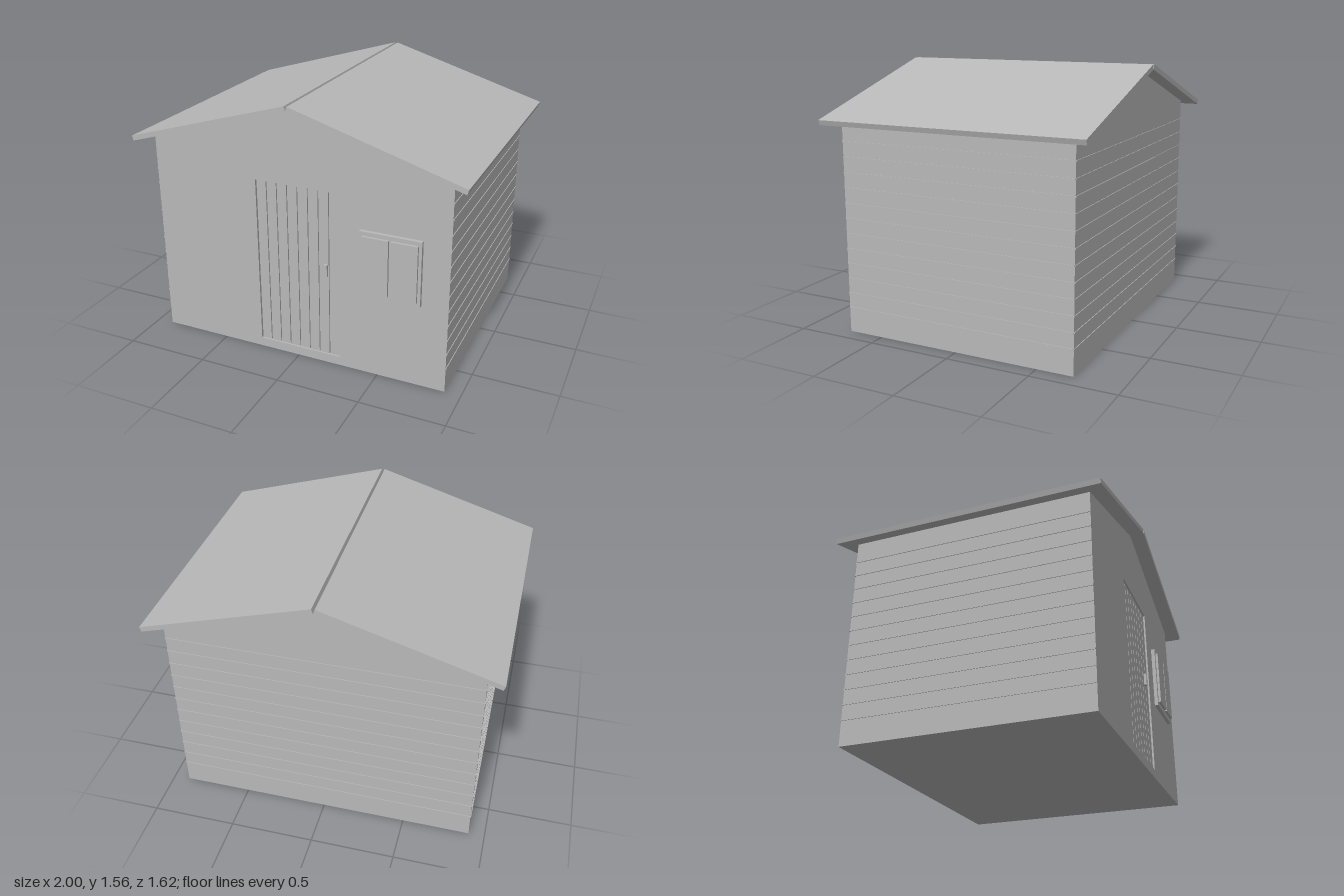
import * as THREE from 'three';

const W = 0.904, BACK = -0.716, FRONT = 0.72, RECESS = 0.70;
const EAVE = 1.264, RIDGE = 1.535, ROOF_Z = 0.808;

export function createModel() {
  const shed = new THREE.Group();
  shed.name = 'gardenShed';
  const grey = new THREE.MeshStandardMaterial({ color: 0xb8b8b8 });
  grey.name = 'plainGrey';

  const add = (name, geometry, parent = shed) => {
    const mesh = new THREE.Mesh(geometry, grey);
    mesh.name = name;
    parent.add(mesh);
    return mesh;
  };
  // Box given by its limits on each axis
  const block = (name, x0, x1, y0, y1, z0, z1, parent) => {
    const mesh = add(name, new THREE.BoxGeometry(x1 - x0, y1 - y0, z1 - z0), parent);
    mesh.position.set((x0 + x1) / 2, (y0 + y1) / 2, (z0 + z1) / 2);
    return mesh;
  };
  // Outline in x and y, pushed out from z0 to z1
  const polygon = (points) => new THREE.Shape(points.map(([x, y]) => new THREE.Vector2(x, y)));
  const extrude = (shape, z0, z1) =>
    new THREE.ExtrudeGeometry(shape, { depth: z1 - z0, bevelEnabled: false }).translate(0, 0, z0);
  const gable = () => polygon([[-W, 0], [W, 0], [W, EAVE], [0, RIDGE], [-W, EAVE]]);

  // Walls: solid core and a front skin with the door opening
  add('walls', extrude(gable(), BACK, RECESS));
  const d = { x0: -0.25, x1: 0.262, y0: 0.055, y1: 1.085 };
  const frontShape = gable();
  frontShape.holes.push(polygon([[d.x0, d.y0], [d.x0, d.y1], [d.x1, d.y1], [d.x1, d.y0]]));
  add('frontWall', extrude(frontShape, RECESS, FRONT));

  // Narrow siding ridges on both sides and the back
  const siding = new THREE.Group();
  siding.name = 'siding';
  shed.add(siding);
  const out = 0.004, half = 0.004;
  for (let i = 0; i < 12; i++) {
    const y = 0.15 + i * 0.09;
    for (const s of [-1, 1]) {
      const x = s * (W + out / 2);
      block('sideSidingStrip', x - out / 2, x + out / 2, y - half, y + half, BACK, FRONT, siding);
    }
    block('backSidingStrip', -W, W, y - half, y + half, BACK - out, BACK, siding);
  }

  // Door of eight upright planks, set back in its opening
  const door = new THREE.Group();
  door.name = 'door';
  shed.add(door);
  const pitch = (d.x1 - d.x0) / 8;
  for (let i = 0; i < 8; i++) {
    const x = d.x0 + i * pitch;
    block('doorPlank', x + 0.003, x + pitch - 0.003, d.y0, d.y1, RECESS, 0.71, door);
  }
  block('doorHandle', 0.17, 0.19, 0.567, 0.64, 0.71, 0.726, door);

  // Window: board with two raised panes
  const window = new THREE.Group();
  window.name = 'window';
  shed.add(window);
  block('windowFrame', 0.39, 0.75, 0.512, 0.902, FRONT, 0.742, window);
  block('windowPane', 0.41, 0.565, 0.54, 0.878, 0.742, 0.757, window);
  block('windowPane', 0.578, 0.732, 0.54, 0.878, 0.742, 0.757, window);

  // Two roof slabs that meet at their lower edge, leaving a groove along the ridge
  for (const s of [1, -1]) {
    const p = [[0, RIDGE], [0.991, 1.238], [1, 1.267], [0.009, 1.564]].map(([x, y]) => [s * x, y]);
    add(s > 0 ? 'leftRoof' : 'rightRoof', extrude(polygon(p), -ROOF_Z, ROOF_Z));
  }
  return shed;
}
